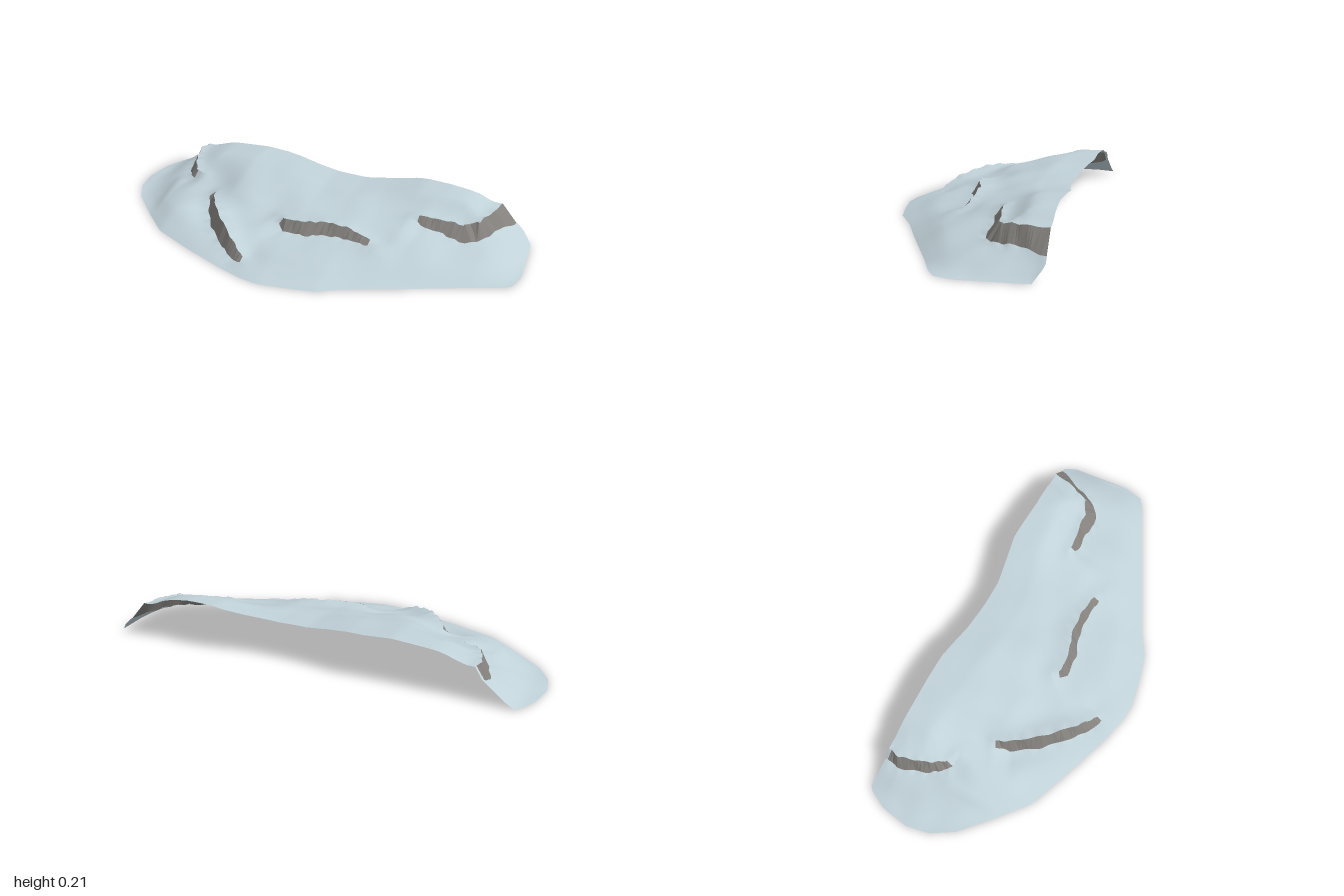
import * as THREE from 'three';

// Outline of the snowdrift: [x, z] along the back edge and the front edge
const BACK = [[-1, -0.22], [-0.98, -0.34], [-0.93, -0.44], [-0.88, -0.435], [-0.75, -0.42], [-0.28, -0.42],
  [-0.1, -0.39], [0.05, -0.38], [0.17, -0.38], [0.4, -0.42], [0.6, -0.41], [0.93, -0.42], [0.98, -0.38], [1, -0.12]];
const FRONT = [[-1, -0.2], [-0.98, -0.1], [-0.92, 0], [-0.78, 0.13], [-0.65, 0.24], [-0.45, 0.32], [-0.25, 0.39],
  [-0.12, 0.425], [-0.03, 0.435], [0.1, 0.41], [0.22, 0.38], [0.35, 0.3], [0.52, 0.22], [0.8, 0.08], [0.93, 0.02],
  [0.99, -0.02], [1, -0.1]];
// Part of the outline that rests on the ground
const RIM = [[-0.93, -0.44], [-0.98, -0.34], ...FRONT, [0.98, -0.38]];
// Height of the open back edge along x, and its fall-off from back (0) to front (1)
const RIDGE = [[-1, 0], [-0.93, 0.005], [-0.88, 0.025], [-0.82, 0.065], [-0.78, 0.11], [-0.76, 0.145], [-0.7, 0.17],
  [-0.6, 0.188], [-0.4, 0.205], [-0.2, 0.195], [0, 0.172], [0.15, 0.172], [0.3, 0.19], [0.45, 0.213], [0.58, 0.213],
  [0.72, 0.2], [0.82, 0.165], [0.88, 0.1], [0.93, 0.045], [0.98, 0], [1, 0]];
const FALL = [[0, 1], [0.2, 0.98], [0.38, 0.84], [0.52, 0.73], [0.65, 0.53], [0.8, 0.32], [0.9, 0.15], [1, 0]];

// Rock ledges: [x, z, top height, bottom height, half width]; reach is the length of the slope below
const LEDGES = [
  { name: 'frontLedge', from: 0.02, to: 0.98, reach: 0.1, pts: [[-0.51, -0.03, 0.12, 0.105, 0.012],
    [-0.48, 0.04, 0.122, 0.05, 0.014], [-0.4, 0.15, 0.124, 0.04, 0.016], [-0.28, 0.26, 0.095, 0.027, 0.016],
    [-0.2, 0.315, 0.055, 0.012, 0.016], [-0.15, 0.335, 0.03, 0.022, 0.012]] },
  { name: 'centreLedge', from: 0.06, to: 0.92, reach: 0.12, pts: [[-0.11, 0.06, 0.125, 0.115, 0.012],
    [-0.06, 0.095, 0.13, 0.08, 0.014], [0.04, 0.085, 0.132, 0.077, 0.017], [0.12, 0.055, 0.137, 0.085, 0.016],
    [0.22, 0.045, 0.135, 0.085, 0.014], [0.31, 0.05, 0.115, 0.085, 0.014], [0.38, 0.065, 0.095, 0.093, 0.012]] },
  { name: 'rightLedge', from: 0.03, to: 1, reach: 0.18, pts: [[0.47, -0.16, 0.158, 0.15, 0.012],
    [0.53, -0.15, 0.158, 0.118, 0.014], [0.62, -0.165, 0.15, 0.1, 0.018], [0.71, -0.165, 0.14, 0.08, 0.028],
    [0.78, -0.21, 0.157, 0.085, 0.022], [0.81, -0.29, 0.163, 0.095, 0.02], [0.858, -0.42, 0.165, 0.08, 0.036],
    [0.865, -0.47, 0.165, 0.08, 0.036]] },
  { name: 'leftLedge', from: 0.1, to: 0.8, reach: 0.12, pts: [[-0.76, -0.46, 0.145, 0.115, 0.014],
    [-0.785, -0.36, 0.15, 0.075, 0.018], [-0.74, -0.23, 0.142, 0.075, 0.016], [-0.69, -0.16, 0.125, 0.09, 0.014],
    [-0.62, -0.14, 0.125, 0.12, 0.012]] },
];

const { lerp, clamp } = THREE.MathUtils;

function sample(table, x) {
  let i = 0;
  while (i < table.length - 2 && x > table[i + 1][0]) i++;
  const [x0, y0] = table[i], [x1, y1] = table[i + 1];
  return lerp(y0, y1, clamp((x - x0) / (x1 - x0), 0, 1));
}

// Nearest point on a line; uphill is 1 on the inner side, 0 on the outer, blended around the ends
function nearest(pts, x, z) {
  let best = { dist: Infinity };
  for (let i = 0; i < pts.length - 1; i++) {
    const p = pts[i], q = pts[i + 1];
    const tx = q[0] - p[0], tz = q[1] - p[1];
    const k = clamp(((x - p[0]) * tx + (z - p[1]) * tz) / (tx * tx + tz * tz), 0, 1);
    const nx = p[0] + tx * k, nz = p[1] + tz * k;
    const dist = Math.hypot(x - nx, z - nz);
    if (dist < best.dist) {
      const t = (i + k) / (pts.length - 1);
      const across = ((x - nx) * tz - (z - nz) * tx) / (Math.hypot(tx, tz) * Math.max(dist, 1e-6));
      const atEnd = t === 0 || t === 1;
      best = { dist, nx, nz, t, uphill: atEnd ? 0.5 + 0.5 * across : Number(across >= 0),
        top: lerp(p[2], q[2], k), bottom: lerp(p[3], q[3], k), half: lerp(p[4], q[4], k) };
    }
  }
  return best;
}

export function createModel() {
  const snow = new THREE.MeshStandardMaterial({ color: 0xc0d1d8, side: THREE.DoubleSide });
  snow.name = 'snow';
  const rock = new THREE.MeshStandardMaterial({ color: 0x85827e, side: THREE.DoubleSide });
  rock.name = 'rock';

  const COLS = 100, ROWS = 42;
  const positions = [], marks = [];

  // Grid over the outline, pulled onto the two lips of each ledge
  for (let i = 0; i <= COLS; i++) {
    const x0 = -1 + (2 * i) / COLS;
    const zb = sample(BACK, x0), zf = sample(FRONT, x0);
    for (let j = 0; j <= ROWS; j++) {
      const s = j / ROWS;
      let x = x0, z = lerp(zb, zf, s), mark = null;
      LEDGES.forEach((ledge, id) => {
        const n = nearest(ledge.pts, x, z);
        if (n.dist < Math.max(0.03, n.half + 0.012) && n.dist > 1e-5 && n.t > 0 && n.t < 1) {
          const half = n.half + 0.003 * Math.sin(n.t * 37 + id);
          x = n.nx + ((x - n.nx) / n.dist) * half;
          if (j > 0) z = n.nz + ((z - n.nz) / n.dist) * half;
          mark = { id, uphill: n.uphill, t: n.t };
        }
      });

      // Rolling snow with gentle dents, then the step at each ledge
      let y = sample(RIDGE, x) * sample(FALL, s);
      y += 0.004 * Math.sin(x * 17 + z * 9) * Math.sin(z * 21 - x * 6) * Math.sin(Math.PI * s);
      const edge = nearest(RIM, x, z).dist;
      LEDGES.forEach((ledge, id) => {
        const n = nearest(ledge.pts, x, z);
        const onLip = mark && mark.id === id;
        const uphill = onLip ? mark.uphill : n.uphill;
        const away = onLip ? 0 : Math.max(0, n.dist - n.half);
        const above = lerp(y, n.top, Math.exp(-((away / 0.085) ** 2)));
        const slope = (n.bottom * edge) / (edge + away + 1e-6);
        const below = lerp(y, slope, Math.exp(-((away / ledge.reach) ** 2)));
        y = lerp(below, above, uphill);
        if (onLip) y += 0.004 * Math.sin(n.t * 61 + id * 2 + uphill * 2) * Math.sin(Math.PI * n.t);
      });
      if (j === ROWS || i === 0 || i === COLS) y = 0;
      positions.push(x, Math.max(0, y), z);
      marks.push(mark);
    }
  }

  // Faces that cross a ledge line are rock, all others snow
  const snowFaces = [], rockFaces = LEDGES.map(() => []);
  const addFace = (...face) => {
    const m = face.map((v) => marks[v]);
    const same = m.every((k) => k && k.id === m[0].id);
    const crosses = same && m.some((k) => k.uphill !== m[0].uphill);
    const ledge = crosses && LEDGES[m[0].id];
    if (crosses && m.every((k) => k.t >= ledge.from && k.t <= ledge.to)) rockFaces[m[0].id].push(...face);
    else snowFaces.push(...face);
  };
  for (let i = 0; i < COLS; i++) {
    for (let j = 0; j < ROWS; j++) {
      const a = i * (ROWS + 1) + j, b = a + 1, c = a + ROWS + 1, d = c + 1;
      addFace(a, b, c);
      addFace(b, d, c);
    }
  }

  const group = new THREE.Group();
  group.name = 'snowdrift';
  const addMesh = (name, faces, material, flat) => {
    let geometry = new THREE.BufferGeometry();
    geometry.setAttribute('position', new THREE.Float32BufferAttribute(positions, 3));
    geometry.setIndex(faces);
    if (flat) geometry = geometry.toNonIndexed();
    geometry.computeVertexNormals();
    const mesh = new THREE.Mesh(geometry, material);
    mesh.name = name;
    group.add(mesh);
  };
  addMesh('snowSheet', snowFaces, snow, false);
  LEDGES.forEach((ledge, id) => addMesh(ledge.name, rockFaces[id], rock, true));
  return group;
}
